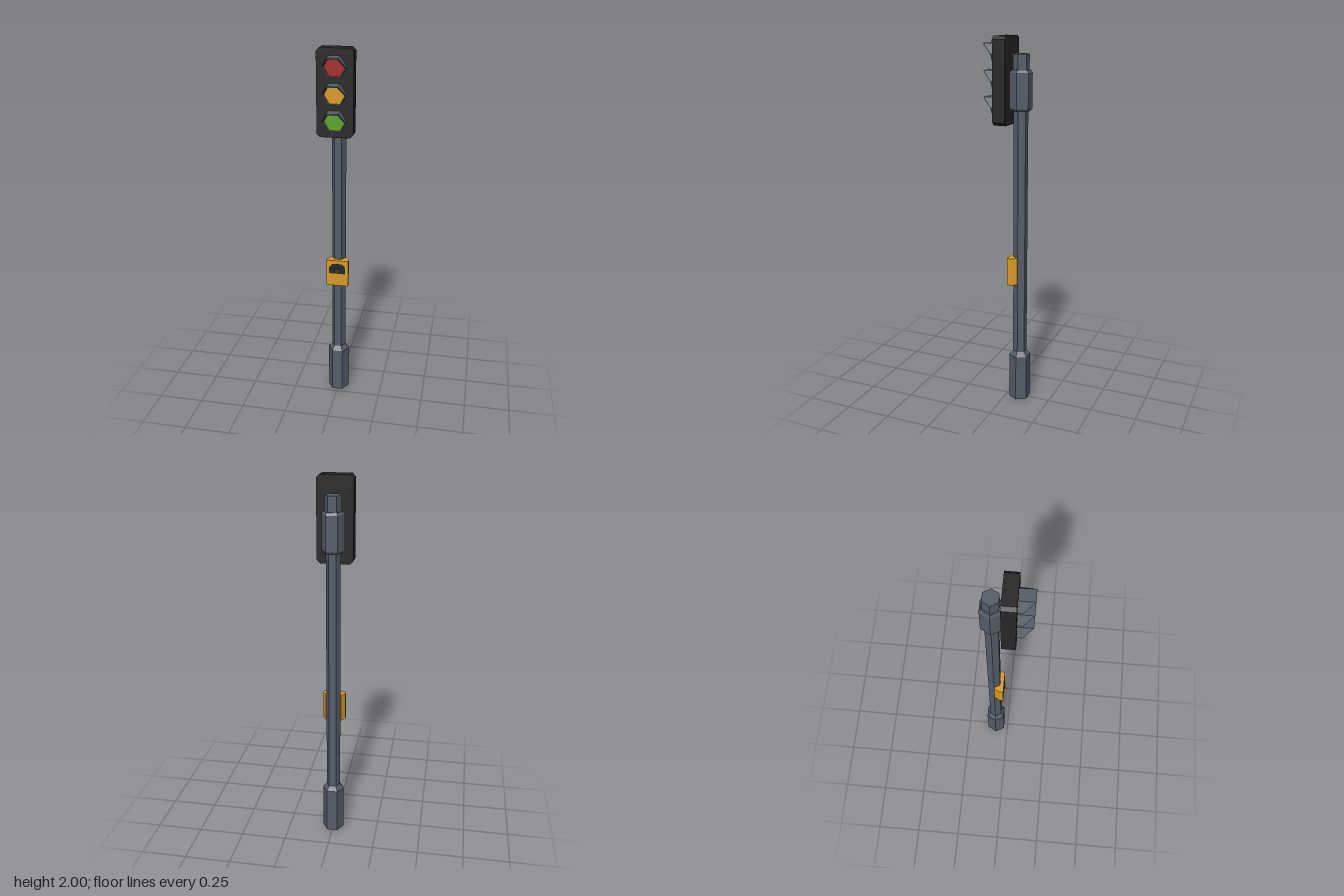
import * as THREE from 'three';

const mat = (color, side = THREE.FrontSide) =>
  new THREE.MeshStandardMaterial({ color, side, flatShading: true });

const STEEL = mat(0x555d68);
const HOOD = mat(0x555d68, THREE.DoubleSide);
const BLACK = mat(0x272727);
const DARK = mat(0x3a3c40);
const YELLOW = mat(0xd99a26);
const POLE_Z = -0.0735;

function add(parent, name, geometry, material, x = 0, y = 0, z = 0) {
  const mesh = new THREE.Mesh(geometry, material);
  mesh.name = name;
  mesh.position.set(x, y, z);
  parent.add(mesh);
  return mesh;
}

const shapeOf = (pts) => new THREE.Shape(pts.map(([x, y]) => new THREE.Vector2(x, y)));
const extrude = (pts, depth) =>
  new THREE.ExtrudeGeometry(shapeOf(pts), { depth, bevelEnabled: false });

// Six-sided turned part from [radius, height] pairs, corners on the x axis
const hexLathe = (pts) =>
  new THREE.LatheGeometry(pts.map(([r, y]) => new THREE.Vector2(r, y)), 6, Math.PI / 6);

// Hexagonal tube whose upper half reaches forward as a visor
function hoodGeometry(outer, inner, back, lip, tip) {
  const rings = [[outer, false], [outer, true], [inner, true], [inner, false]];
  const pos = [], index = [];
  for (const [r, front] of rings) {
    for (let k = 0; k < 6; k++) {
      const a = (k * Math.PI) / 3;
      const isTop = k === 1 || k === 2;
      pos.push(r * Math.cos(a), r * Math.sin(a), front ? (isTop ? tip : lip) : back);
    }
  }
  for (let i = 0; i < 3; i++) {
    for (let k = 0; k < 6; k++) {
      const n = (k + 1) % 6;
      const a = i * 6 + k, b = i * 6 + n, c = b + 6, d = a + 6;
      index.push(a, b, c, a, c, d);
    }
  }
  const g = new THREE.BufferGeometry();
  g.setAttribute('position', new THREE.Float32BufferAttribute(pos, 3));
  g.setIndex(index);
  g.computeVertexNormals();
  return g;
}

export function createModel() {
  const model = new THREE.Group();
  model.name = 'trafficLight';

  // Pole: wide foot, slim shaft, collar and short cap
  const pole = new THREE.Group();
  pole.name = 'pole';
  pole.position.z = POLE_Z;
  model.add(pole);
  add(pole, 'foot', hexLathe([[0, 0], [0.059, 0], [0.059, 0.26], [0.038, 0.285]]), STEEL);
  add(pole, 'shaft', hexLathe([[0.038, 0.27], [0.038, 1.64]]), STEEL);
  add(pole, 'collar', hexLathe([
    [0.038, 1.627], [0.05, 1.627], [0.059, 1.64], [0.059, 1.82], [0.05, 1.833], [0.038, 1.833],
  ]), STEEL);
  add(pole, 'cap', hexLathe([[0.043, 1.82], [0.043, 1.912], [0, 1.912]]), STEEL);

  // Signal head: box with cut corners
  const w = 0.094, lo = 1.555, hi = 2, c = 0.017;
  add(model, 'signalHousing', extrude([
    [-w + c, lo], [w - c, lo], [w, lo + c], [w, hi - c],
    [w - c, hi], [-w + c, hi], [-w, hi - c], [-w, lo + c],
  ], 0.069), BLACK, 0, 0, -0.023);

  // Three lamps, each a lens inside a hood
  const lamps = [['red', 0xa32c26, 1.91], ['amber', 0xd99a26, 1.775], ['green', 0x5fa52c, 1.64]];
  for (const [name, color, y] of lamps) {
    add(model, name + 'Hood', hoodGeometry(0.061, 0.054, 0.045, 0.071, 0.122), HOOD, 0, y, 0);
    add(model, name + 'Lens', new THREE.CircleGeometry(0.055, 6), mat(color), 0, y, 0.052);
  }

  // Push-button box, narrowing towards the pole
  const box = new THREE.Group();
  box.name = 'buttonBox';
  box.position.set(0, 0.688, 0);
  model.add(box);
  const boxGeometry = extrude([
    [-0.061, 0.02], [0.061, 0.02], [0.061, 0.042],
    [0.042, 0.073], [-0.042, 0.073], [-0.061, 0.042],
  ], 0.152);
  boxGeometry.rotateX(-Math.PI / 2);
  add(box, 'buttonCase', boxGeometry, YELLOW);
  add(box, 'buttonPanel', extrude([
    [-0.045, 0.074], [0.045, 0.074], [0.045, 0.11],
    [0.027, 0.132], [-0.027, 0.132], [-0.045, 0.11],
  ], 0.004), BLACK, 0, 0, -0.022);
  const button = add(box, 'button',
    new THREE.CylinderGeometry(0.012, 0.014, 0.008, 6), DARK, 0, 0.094, -0.016);
  button.rotation.x = Math.PI / 2;

  return model;
}
